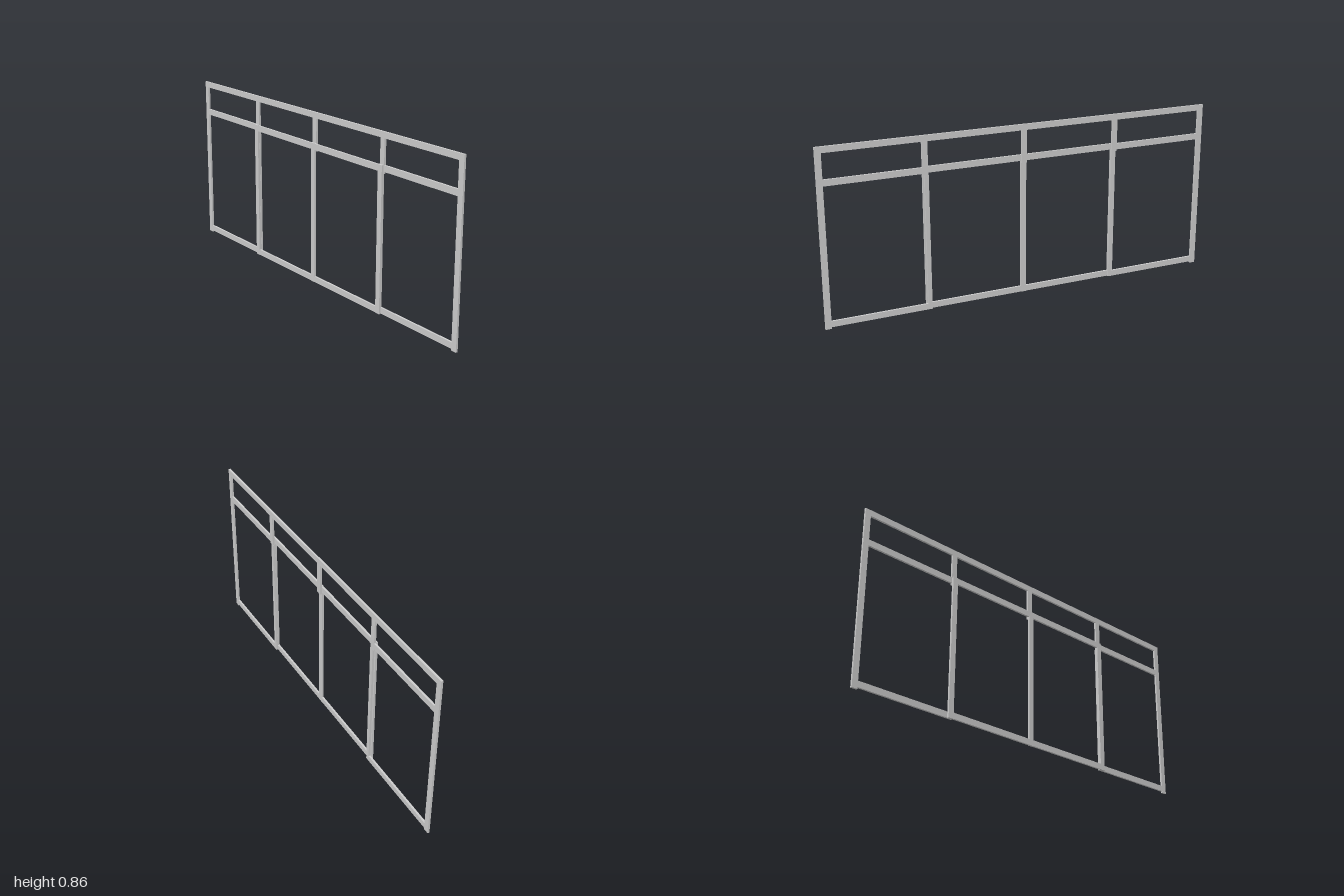
import * as THREE from 'three';

const material = new THREE.MeshStandardMaterial({ color: 0xcccccc, flatShading: true });

// Bar given by its x range, y range and z range
function bar(group, name, x0, x1, y0, y1, z0, z1) {
  const mesh = new THREE.Mesh(new THREE.BoxGeometry(x1 - x0, y1 - y0, z1 - z0), material);
  mesh.name = name;
  mesh.position.set((x0 + x1) / 2, (y0 + y1) / 2, (z0 + z1) / 2);
  group.add(mesh);
}

export function createModel() {
  const model = new THREE.Group();
  model.name = 'windowWall';
  const back = [-0.01, 0];
  const front = [0, 0.01];
  const railLevels = { bottomRail: [0.008, 0.037], transomRail: [0.676, 0.706] };

  // Outer frame: jambs and head
  const frame = new THREE.Group();
  frame.name = 'outerFrame';
  bar(frame, 'rightJamb', -1, -0.971, 0, 0.855, ...back);
  bar(frame, 'leftJamb', 0.971, 1, 0, 0.855, ...back);
  bar(frame, 'headRail', -0.971, 0.971, 0.826, 0.855, ...back);

  // Short mullions between the head and the transom
  for (const x of [-0.487, 0.002, 0.499]) {
    bar(frame, 'upperMullion', x - 0.014, x + 0.014, 0.667, 0.826, ...back);
  }
  model.add(frame);

  // Fixed side panels in the back plane
  const fixed = new THREE.Group();
  fixed.name = 'fixedPanels';
  for (const [name, [y0, y1]] of Object.entries(railLevels)) {
    bar(fixed, name, -0.971, -0.491, y0, y1, ...back);
    bar(fixed, name, 0.503, 0.971, y0, y1, ...back);
  }
  bar(fixed, 'innerStile', -0.491, -0.471, 0.008, 0.667, ...back);
  bar(fixed, 'innerStile', 0.483, 0.503, 0.008, 0.667, ...back);
  model.add(fixed);

  // Centre panels in the front plane
  const sliding = new THREE.Group();
  sliding.name = 'centrePanels';
  for (const x of [-0.486, 0.002, 0.496]) {
    bar(sliding, 'stile', x - 0.014, x + 0.014, 0.007, 0.707, ...front);
  }
  for (const [name, [y0, y1]] of Object.entries(railLevels)) {
    bar(sliding, name, -0.472, -0.012, y0, y1, ...front);
    bar(sliding, name, 0.016, 0.482, y0, y1, ...front);
  }
  model.add(sliding);
  return model;
}
